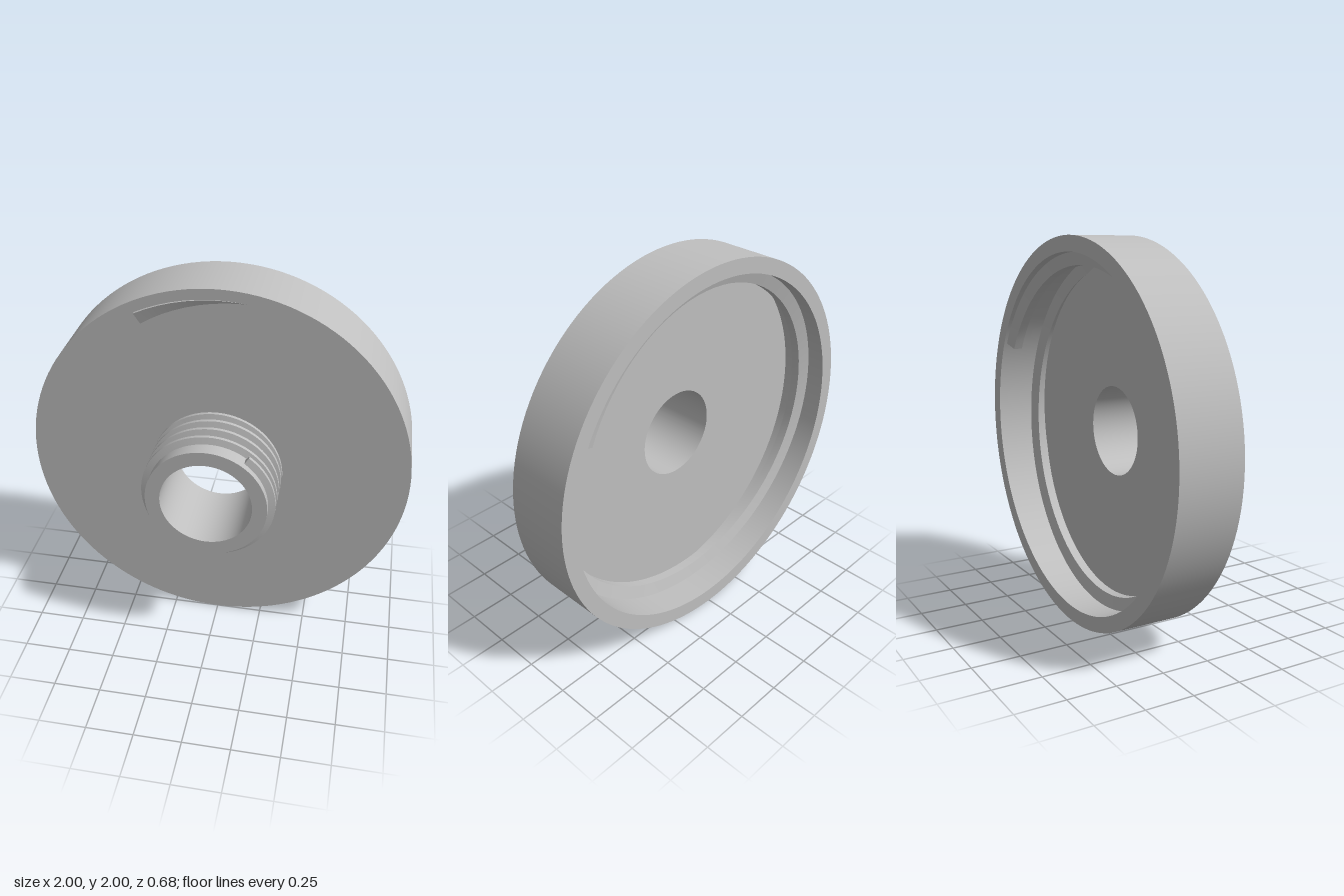
import * as THREE from 'three';
import { mergeGeometries } from 'three/addons/utils/BufferGeometryUtils.js';

const grey = new THREE.MeshStandardMaterial({ color: 0xbfbfbf });
grey.name = 'grey plastic';

// Surface of revolution around z with a crisp edge at every profile point [radius, z]
function turned(profile, segments = 128) {
  const bands = [];
  for (let i = 0; i < profile.length - 1; i++) {
    const pts = [profile[i], profile[i + 1]].map(([r, z]) => new THREE.Vector2(r, z));
    bands.push(new THREE.LatheGeometry(pts, segments));
  }
  return mergeGeometries(bands).rotateX(Math.PI / 2);
}

// Screw thread: a four-cornered section [radius, z offset] swept clockwise round z
function thread(section, startDeg, sweepDeg, zAt) {
  const steps = Math.ceil(sweepDeg / 4);
  const point = (i, [r, dz]) => {
    const t = (sweepDeg * i) / steps;
    const a = THREE.MathUtils.degToRad(startDeg - t);
    return [r * Math.cos(a), r * Math.sin(a), zAt(t) + dz];
  };
  const pos = [], index = [];
  // each side is its own strip, smooth along its length only
  section.forEach((corner, k) => {
    const next = section[(k + 1) % section.length];
    const base = pos.length / 3;
    for (let i = 0; i <= steps; i++) {
      pos.push(...point(i, corner), ...point(i, next));
      if (i < steps) {
        const a = base + 2 * i;
        index.push(a, a + 1, a + 3, a, a + 3, a + 2);
      }
    }
  });
  // flat ends
  [0, steps].forEach((i) => {
    const b = pos.length / 3;
    section.forEach((c) => pos.push(...point(i, c)));
    if (i === 0) index.push(b, b + 3, b + 2, b, b + 2, b + 1);
    else index.push(b, b + 1, b + 2, b, b + 2, b + 3);
  });
  const g = new THREE.BufferGeometry();
  g.setAttribute('position', new THREE.Float32BufferAttribute(pos, 3));
  g.setIndex(index);
  g.computeVertexNormals();
  return g;
}

export function createModel() {
  const model = new THREE.Group();
  model.name = 'threadedCap';
  const add = (name, geometry) => {
    const mesh = new THREE.Mesh(geometry, grey);
    mesh.name = name;
    mesh.position.y = 1;
    model.add(mesh);
  };

  // Hollow cap, open at the back, with a bored neck on the front
  add('capAndNeck', turned([
    [1, -0.34], [1, 0], [0.31, 0], [0.31, 0.34], [0.235, 0.34],
    [0.235, -0.08], [0.92, -0.08], [0.92, -0.34], [1, -0.34],
  ]));

  // Fine thread around the neck, levelling out at both ends
  add('neckThread', thread(
    [[0.3, -0.02], [0.345, -0.009], [0.345, 0.009], [0.3, 0.02]],
    53, 1493,
    (t) => THREE.MathUtils.clamp(0.247 - (0.0745 * (t - 323)) / 360, 0.03, 0.287),
  ));

  // Coarse thread inside the cap; its start breaks through the front face
  add('innerThread', thread(
    [[0.855, -0.024], [0.945, -0.05], [0.945, 0.05], [0.855, 0.024]],
    115.7, 450,
    (t) => -0.031 - (0.2 * t) / 360,
  ));

  return model;
}
